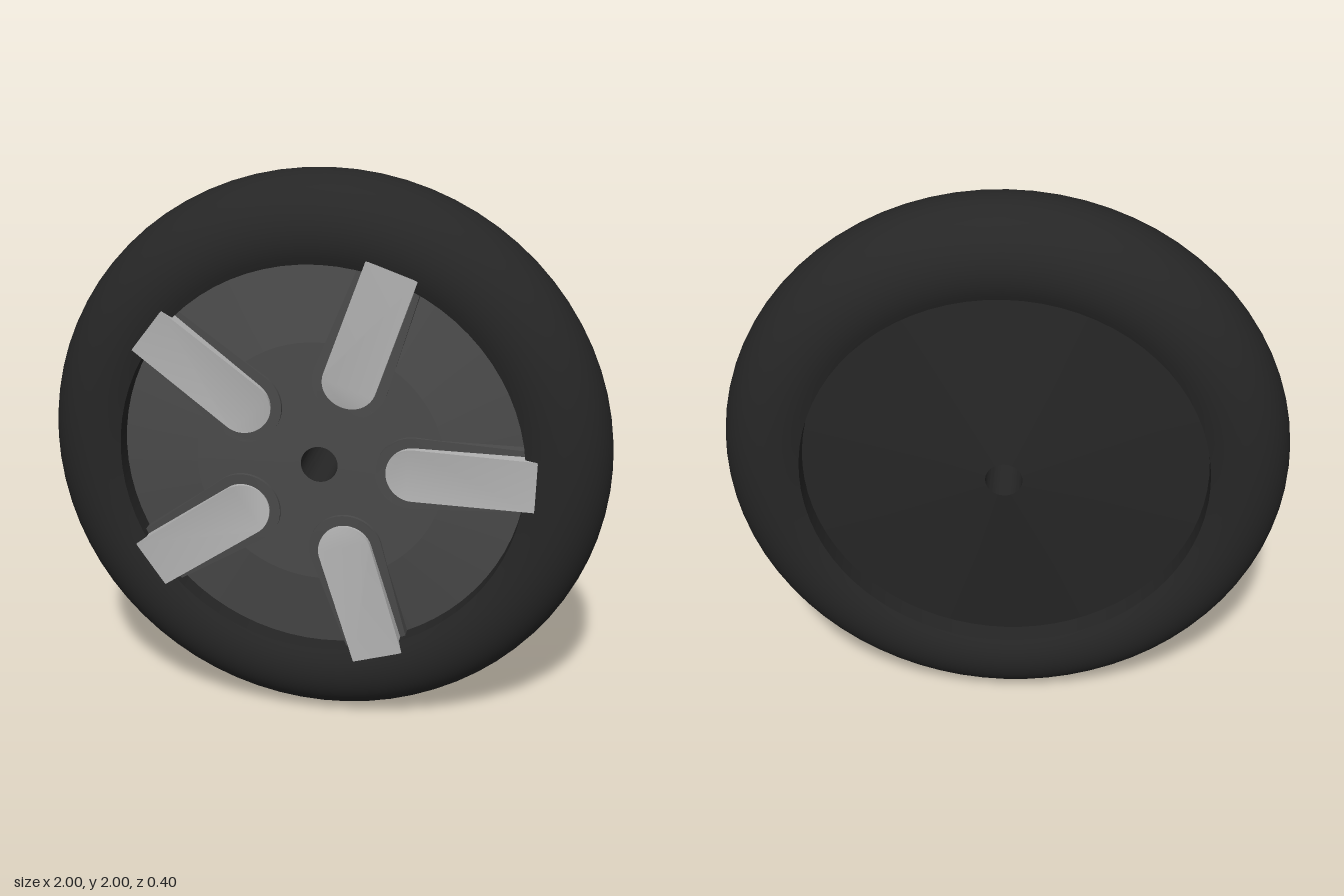
import * as THREE from 'three';
import { toCreasedNormals } from 'three/addons/utils/BufferGeometryUtils.js';

const rubber = new THREE.MeshStandardMaterial({ color: 0x262626 });
rubber.name = 'black rubber';
const hubGrey = new THREE.MeshStandardMaterial({ color: 0x4a4a4a });
hubGrey.name = 'dark grey';
const silver = new THREE.MeshStandardMaterial({ color: 0xb2b2b2 });
silver.name = 'light grey';

function mesh(name, geometry, material) {
  const m = new THREE.Mesh(geometry, material);
  m.name = name;
  return m;
}

// Revolve [radius, z] points around the axle (z axis)
function revolve(points, crease = 0.5) {
  const geo = new THREE.LatheGeometry(points.map(([r, z]) => new THREE.Vector2(r, z)), 72);
  geo.rotateX(Math.PI / 2);
  return toCreasedNormals(geo, crease);
}

// Bar along +x with a rounded inner end; topAt(x) gives the height of its front
function bar(inner, outer, innerHalf, outerHalf, bottom, topAt) {
  const s = new THREE.Shape();
  const cx = inner + innerHalf;
  s.moveTo(outer, -outerHalf);
  s.lineTo(outer, outerHalf);
  s.lineTo(cx, innerHalf);
  s.absarc(cx, 0, innerHalf, Math.PI / 2, Math.PI * 1.5, false);
  s.closePath();
  const geo = new THREE.ExtrudeGeometry(s, { depth: 1, bevelEnabled: false, curveSegments: 16 });
  const p = geo.attributes.position;
  for (let i = 0; i < p.count; i++) {
    p.setZ(i, p.getZ(i) > 0.5 ? topAt(p.getX(i)) : bottom);
  }
  return toCreasedNormals(geo, 0.6);
}

export function createModel() {
  const group = new THREE.Group();
  group.name = 'wheel';
  const lip = 0.715;

  // Tyre: round section cut straight at the rim
  const tyre = [];
  const start = Math.acos((lip - 0.8) / 0.2);
  for (let i = 0; i <= 32; i++) {
    const a = -start + (2 * start * i) / 32;
    tyre.push([0.8 + 0.2 * Math.cos(a), 0.2 * Math.sin(a)]);
  }
  tyre.push([...tyre[0]]);
  group.add(mesh('tyre', revolve(tyre), rubber));

  // Hub: flat centre with a sloping outer zone, and a dished back with the axle hole
  group.add(mesh('hubFront', revolve([[lip, 0.11], [0.44, 0.162], [0.065, 0.17]], 0.1), hubGrey));
  group.add(mesh('hubBack', revolve([[0.065, 0.17], [0.065, -0.17], [lip, -0.105]]), rubber));

  // Five spokes, each a light bar seated in a dark collar
  const collarGeo = bar(0.198, 0.714, 0.131, 0.112, 0.05, (x) => 0.179 - 0.06 * Math.max(0, x - 0.25));
  const spokeGeo = bar(0.235, 0.752, 0.095, 0.092, 0.05,
    (x) => 0.195 - 1.2 * Math.max(0, 0.33 - x) ** 2);
  for (let i = 0; i < 5; i++) {
    const spoke = new THREE.Group();
    spoke.name = 'spoke' + (i + 1);
    spoke.add(mesh('spokeCollar', collarGeo, hubGrey), mesh('spokeBar', spokeGeo, silver));
    spoke.rotation.z = THREE.MathUtils.degToRad(-1.3 + 72 * i);
    group.add(spoke);
  }

  group.position.y = 1;
  const model = new THREE.Group();
  model.name = 'wheelModel';
  model.add(group);
  return model;
}
